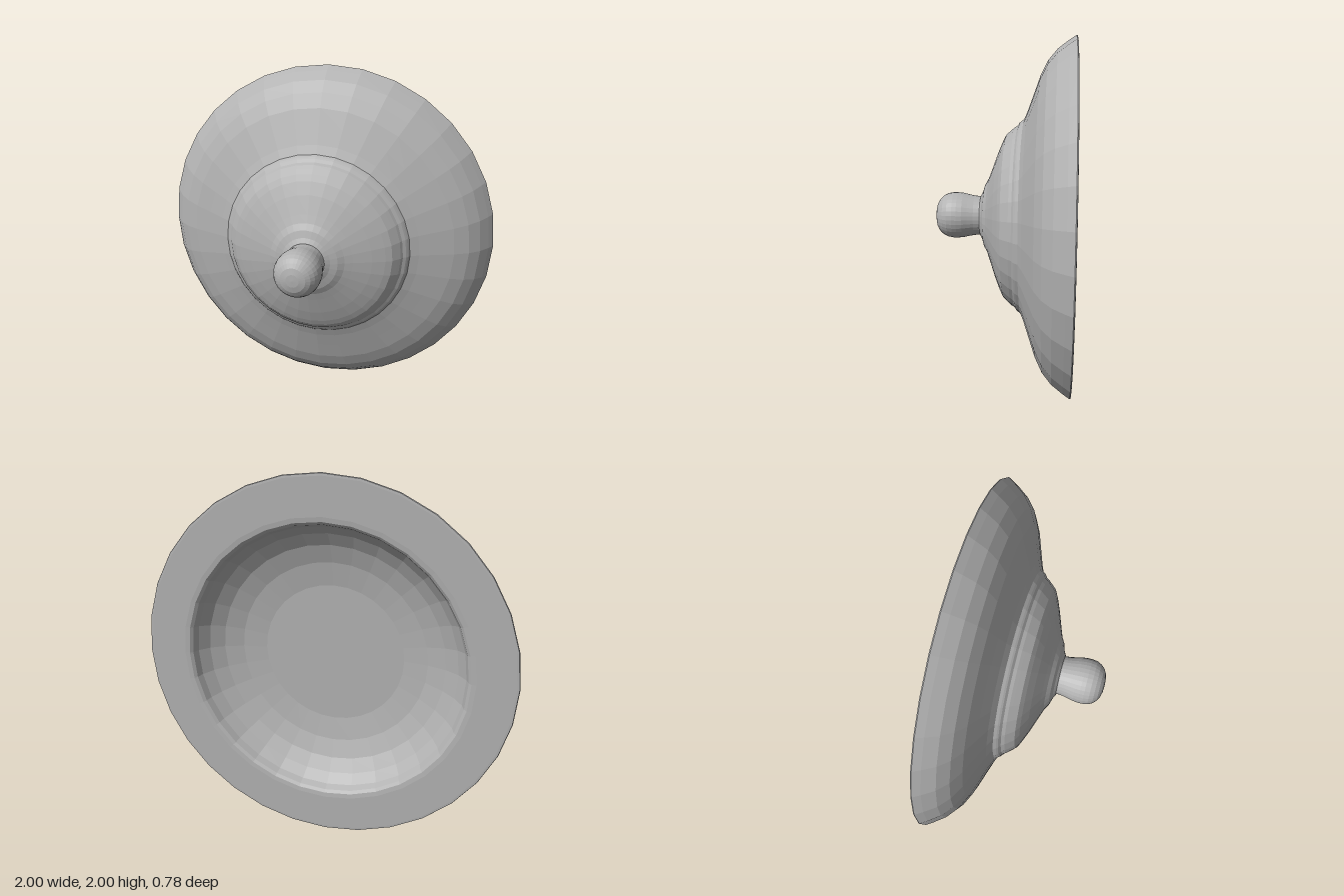
import * as THREE from 'three';

// Turned part: profile of [radius, z] pairs spun around the z axis
function turned(name, profile, segments, material) {
  const points = profile.map(([r, z]) => new THREE.Vector2(r, z));
  const geometry = new THREE.LatheGeometry(points, segments);
  geometry.rotateX(Math.PI / 2);
  const mesh = new THREE.Mesh(geometry, material);
  mesh.name = name;
  mesh.position.y = 1;
  return mesh;
}

export function createModel() {
  const grey = new THREE.MeshStandardMaterial({ color: 0xb2b2b2, flatShading: true });
  grey.name = 'grey';
  const group = new THREE.Group();
  group.name = 'knobbedDish';

  // Hollow back, from its flat centre out to the rim
  const back = [
    [0, -0.19], [0.39, -0.19], [0.52, -0.21], [0.62, -0.245], [0.69, -0.29],
    [0.735, -0.34], [0.75, -0.375], [0.765, -0.387], [0.79, -0.39],
  ];
  // Flat rim, then the stepped front up to the neck
  const front = [
    [0.985, -0.39], [0.997, -0.389], [1, -0.383], [0.975, -0.345], [0.93, -0.285],
    [0.87, -0.235], [0.79, -0.195], [0.69, -0.16], [0.6, -0.128], [0.55, -0.107],
    [0.54, -0.092], [0.532, -0.083], [0.515, -0.072], [0.505, -0.055], [0.49, -0.038],
    [0.465, -0.01], [0.43, 0.008], [0.36, 0.037], [0.26, 0.073], [0.215, 0.09],
    [0.18, 0.11], [0.14, 0.122], [0.115, 0.135], [0, 0.135],
  ];
  group.add(turned('dish', [...back, ...front], 32, grey));

  // Knob with a narrow neck and a rounded end
  const knob = [
    [0, 0.12], [0.115, 0.12], [0.11, 0.14], [0.113, 0.17], [0.12, 0.205],
    [0.127, 0.235], [0.13, 0.265], [0.13, 0.29], [0.125, 0.32], [0.113, 0.345],
    [0.094, 0.366], [0.07, 0.38], [0.036, 0.388], [0, 0.39],
  ];
  group.add(turned('knob', knob, 32, grey));

  return group;
}
